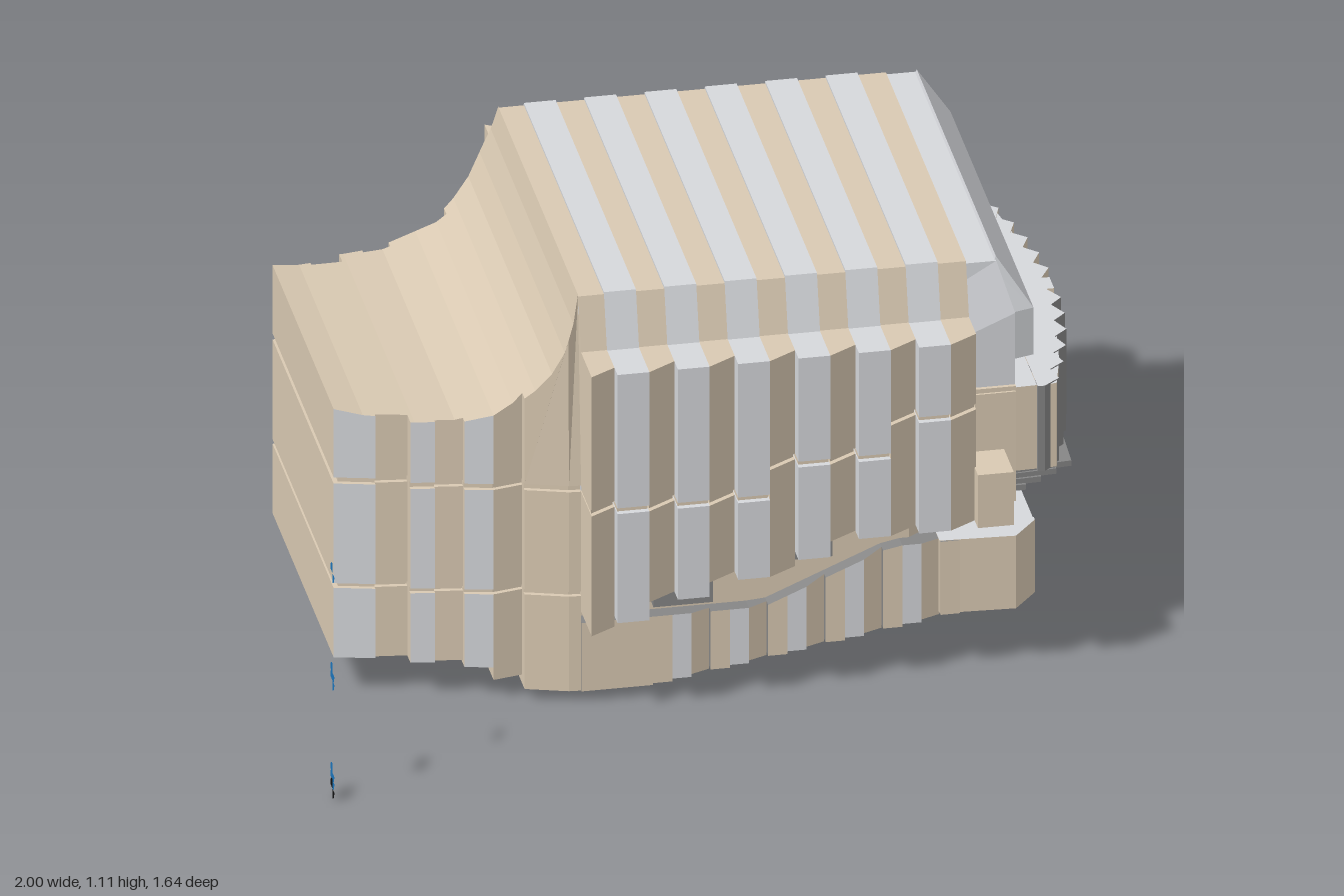
import * as THREE from 'three';

const CZ = -0.135; // symmetry plane of the building
const mat = (c) => new THREE.MeshStandardMaterial({ color: c, flatShading: true, side: THREE.DoubleSide });
const TAN = mat(0xd9c9b2), GREY = mat(0xd5d7db), DARK = mat(0x868686);
const CYAN = mat(0x10dada), BLUE = mat(0x1c75bc), BLACK = mat(0x111111);

const toShape = (pts) => new THREE.Shape(pts.map((p) => new THREE.Vector2(p[0], p[1])));
const rect = (x0, x1, y0, y1) => [[x0, y0], [x1, y0], [x1, y1], [x0, y1]];

export function createModel() {
  const model = new THREE.Group();
  const group = (name) => {
    const g = new THREE.Group();
    g.name = name;
    model.add(g);
    return g;
  };
  const add = (parent, name, geo, material) => {
    const m = new THREE.Mesh(geo, material);
    m.name = name;
    parent.add(m);
    return m;
  };

  // Side profile (x, y) spread across z; half(x, y) gives the half width
  const prism = (parent, name, pts, half, sideMat, edgeMat = sideMat) => {
    const geo = new THREE.ExtrudeGeometry(toShape(pts), { depth: 2, bevelEnabled: false });
    const p = geo.attributes.position;
    for (let i = 0; i < p.count; i++) {
      p.setZ(i, CZ + (p.getZ(i) > 1 ? 1 : -1) * half(p.getX(i), p.getY(i)));
    }
    geo.computeVertexNormals();
    return add(parent, name, geo, [sideMat, edgeMat]);
  };
  // Plan outline (x, offset from the symmetry plane) raised from y0 to y1
  const plan = (parent, name, pts, y0, y1, capMat, wallMat = capMat) => {
    const geo = new THREE.ExtrudeGeometry(toShape(pts), { depth: y1 - y0, bevelEnabled: false });
    geo.rotateX(-Math.PI / 2).translate(0, y0, CZ);
    return add(parent, name, geo, [capMat, wallMat]);
  };
  const box = (parent, name, x0, x1, y0, y1, z0, z1, m) => {
    const geo = new THREE.BoxGeometry(x1 - x0, y1 - y0, z1 - z0);
    geo.translate((x0 + x1) / 2, (y0 + y1) / 2, (z0 + z1) / 2);
    return add(parent, name, geo, m);
  };
  const roofHalf = (y, base = 0.55) => base - Math.max(0, y - 0.97) * 0.29;

  // Rear wing: folded side panels under a sweeping roof, cut by two floor grooves
  const wing = group('rearWing');
  const sweep = [[-0.89, 0.79], [-0.82, 0.775], [-0.7, 0.768], [-0.6, 0.768], [-0.51, 0.79], [-0.46, 0.815],
    [-0.41, 0.86], [-0.37, 0.91], [-0.34, 0.97], [-0.315, 1.04], [-0.3, 1.11]];
  const sweepY = (x) => {
    let i = 1;
    while (i < sweep.length - 1 && sweep[i][0] < x) i++;
    const [a, b] = [sweep[i - 1], sweep[i]];
    return a[1] + (b[1] - a[1]) * (x - a[0]) / (b[0] - a[0]);
  };
  // x0, x1, half width at x0 and x1, bottom, side material
  const wingCells = [
    [-0.89, -0.79, 0.39, 0.415, 0.1, GREY], [-0.79, -0.71, 0.405, 0.415, 0.1, TAN],
    [-0.71, -0.65, 0.455, 0.465, 0.1, GREY], [-0.65, -0.58, 0.455, 0.465, 0.1, TAN],
    [-0.58, -0.51, 0.485, 0.5, 0.09, GREY], [-0.51, -0.435, 0.5, 0.485, 0.055, TAN],
    [-0.435, -0.33, 0.515, 0.548, 0.03, TAN], [-0.33, -0.3, 0.548, 0.55, 0.03, TAN],
  ];
  for (const [x0, x1, h0, h1, y0, m] of wingCells) {
    const half = (x, y) => roofHalf(y, h0 + (h1 - h0) * (x - x0) / (x1 - x0));
    prism(wing, 'lowerWallPanel', rect(x0, x1, y0, 0.293), half, m, TAN);
    prism(wing, 'middleWallPanel', rect(x0, x1, 0.306, 0.583), half, m, TAN);
    const inner = sweep.filter((p) => p[0] > x0 + 1e-4 && p[0] < x1 - 1e-4).reverse();
    prism(wing, 'roofPanel', [[x0, 0.6], [x1, 0.6], [x1, sweepY(x1)], ...inner, [x0, sweepY(x0)]], half, m, TAN);
    prism(wing, 'floorSlab', rect(Math.max(x0, -0.878), x1, y0 + 0.02, 0.7), (x, y) => half(x, y) - 0.012, TAN);
  }

  // Upper hall: chamfered block under a ribbed roof
  const hall = group('upperHall');
  prism(hall, 'hallBlock', [[-0.3, 0.5], [0.79, 0.5], [0.79, 0.97], [0.75, 1.1], [-0.3, 1.1]],
    (x, y) => roofHalf(y), GREY);
  const visorHalf = (x, y) => roofHalf(y, 0.545) - (x > 0.8 ? 0.015 : 0);
  prism(hall, 'frontVisor', [[0.74, 1.08], [0.79, 0.97], [0.79, 0.84], [0.84, 0.84], [0.84, 0.97], [0.75, 1.11]],
    visorHalf, GREY);

  // Folded fins along both long sides, stepping up over the recess; roof ribs line up with them
  const fins = group('sideFins');
  const bottomAt = (x) => (x < -0.24 ? 0.25 : x < -0.12 ? 0.28 : x < -0.02 ? 0.33 : x < 0.2 ? 0.37 : x < 0.28 ? 0.41 : 0.453);
  const fin = (x0, x1, h0, h1, m) => {
    const half = (x) => h0 + (h1 - h0) * (x - x0) / (x1 - x0);
    const mid = (x0 + x1) / 2, y0 = bottomAt(mid);
    const gap = mid < 0.12 ? 0.583 : mid < 0.42 ? 0.667 : 0.76;
    prism(fins, 'lowerFin', rect(x0, x1, y0, gap), half, m);
    prism(fins, 'upperFin', rect(x0, x1, gap + 0.016, 0.97), half, m);
    prism(fins, 'finSlab', rect(x0 + 0.002, x1 - 0.002, y0 + 0.05, 0.9), (x) => half(x) - 0.015, TAN);
    prism(hall, 'roofRib', rect(x0, x1, 0.965, m === GREY ? 1.112 : 1.106),
      (x, y) => roofHalf(y) + (m === GREY ? 0.004 : 0.001), m);
  };
  const period = 0.1515;
  fin(-0.3, -0.235, 0.685, 0.645, TAN);
  for (let k = 0; k < 6; k++) {
    const x = -0.235 + k * period;
    fin(x, x + 0.08, 0.685, 0.685, GREY);
    fin(x + 0.08, x + period, 0.685, 0.64, TAN);
  }
  prism(fins, 'frontCornerBox', rect(0.67, 0.76, 0.453, 0.6), () => 0.685, TAN);
  prism(fins, 'frontReturnWall', rect(0.66, 0.79, 0.453, 0.757), () => 0.56, TAN);
  prism(hall, 'cornerLedge', rect(0.67, 0.79, 0.76, 0.772), () => 0.56, TAN);

  // Stepped dark soffits beneath the fins
  for (let i = 0; i < 6; i++) {
    prism(fins, 'lowerSoffitStep', rect(-0.13 + i * 0.022, 0.02, 0.275 + i * 0.016, 0.291 + i * 0.016 + 0.04),
      () => 0.61, DARK);
  }
  for (let i = 0; i < 5; i++) {
    prism(fins, 'upperSoffitStep', rect(0.19 + i * 0.022, 0.32, 0.372 + i * 0.016, 0.392 + i * 0.016 + 0.02),
      () => 0.61, DARK);
  }

  // Recessed storey between base and hall
  plan(model, 'recessedStorey', [[-0.3, -0.515], [0.53, -0.515], [0.63, -0.44], [0.63, 0.44], [0.53, 0.515], [-0.3, 0.515]],
    0.2, 0.47, TAN).name = 'recessedStorey';

  // Front gallery: fan of folded strips over a stepped soffit
  const gallery = group('frontGallery');
  plan(gallery, 'galleryFloor', [[0.6, -0.53], [0.9, -0.52], [0.93, -0.4], [0.96, -0.2], [0.965, 0],
    [0.96, 0.2], [0.93, 0.4], [0.9, 0.52], [0.6, 0.53]], 0.517, 0.749, GREY, TAN);
  const arcX = (w) => 1.0 - 0.36 * w * w;
  for (const s of [1, -1]) {
    for (let i = 0; i < 6; i++) {
      const a = 0.03 + i * 0.084, b = a + 0.05, c = a + 0.084;
      plan(gallery, 'wideStrip', [[0.85, s * a], [arcX(a) - 0.03, s * a], [arcX(b), s * b], [0.85, s * b]],
        0.515, 0.752, GREY, TAN);
      plan(gallery, 'narrowStrip', [[0.85, s * b], [arcX(b), s * b], [arcX(c) - 0.03, s * c], [0.85, s * c]],
        0.515, 0.752, GREY, DARK);
    }
  }
  plan(gallery, 'centreStrip', rect(0.85, 0.99, -0.03, 0.03), 0.515, 0.752, GREY, TAN);
  for (let i = 0; i < 5; i++) {
    const x = 0.78 + i * 0.04;
    plan(gallery, 'soffitStep', [[0.5, -0.545], [x, -0.545 + i * 0.01], [x + 0.02, 0], [x, 0.545 - i * 0.01], [0.5, 0.545]],
      0.455 + i * 0.013, 0.47 + i * 0.013, DARK);
  }

  // Base: folded walls, sloped parapet and a stepped underside
  const base = group('base');
  const baseTop = (x) => Math.min(0.355, Math.max(0.22, 0.22 + (x - 0.16) * 0.422));
  prism(base, 'baseRear', rect(-0.3, -0.12, 0.03, 0.22), () => 0.555, TAN, DARK);
  const steps = 16, dx = 0.77 / steps;
  for (let i = 0; i < steps; i++) {
    const x0 = -0.12 + i * dx, x1 = x0 + dx, y0 = 0.035 + i * 0.0078;
    const fold = i % 3 === 2;
    prism(base, 'baseWallPanel', [[x0, y0], [x1, y0], [x1, baseTop(x1)], [x0, baseTop(x0)]],
      (x) => (fold ? 0.555 - 0.02 * (x - x0) / dx : 0.555), i % 3 === 1 ? GREY : TAN, DARK);
  }
  // Forked front end around a recessed window
  plan(base, 'frontFork', [[0.6, -0.48], [0.85, -0.48], [0.85, -0.235], [0.65, -0.13], [0.65, 0.13], [0.85, 0.235],
    [0.85, 0.48], [0.6, 0.48]], 0.155, 0.355, GREY, DARK);
  for (const s of [1, -1]) {
    plan(base, 'forkCheek', [[0.6, s * 0.47], [0.852, s * 0.47], [0.852, s * 0.485], [0.79, s * 0.56], [0.6, s * 0.55]],
      0.154, 0.356, GREY, TAN);
    const z = CZ + s * 0.317;
    box(base, 'forkPanel', 0.845, 0.855, 0.156, 0.307, z - 0.082, z + 0.082, DARK);
  }

  // Window: frame with two rows of three panes
  const win = group('window');
  box(win, 'windowFrame', 0.64, 0.656, 0.24, 0.342, -0.265, -0.005, TAN);
  for (const [z0, z1] of [[-0.255, -0.165], [-0.155, -0.108], [-0.098, -0.015]]) {
    box(win, 'lowerPane', 0.65, 0.66, 0.247, 0.302, z0, z1, CYAN);
    box(win, 'upperPane', 0.65, 0.66, 0.31, 0.335, z0, z1, CYAN);
  }

  // Level markers: flat discs with two opposite quarters, standing apart
  const markers = group('levelMarkers');
  for (const [y, m] of [[0.625, BLUE], [0.348, BLUE], [0.326, BLUE], [0.07, BLUE], [0.05, BLUE], [0.026, BLACK]]) {
    for (const start of [0, Math.PI]) {
      const q = add(markers, 'markerQuarter', new THREE.CircleGeometry(0.026, 8, start, Math.PI / 2), m);
      q.rotation.y = Math.PI / 2;
      q.position.set(-1, y, 0.798);
    }
  }
  return model;
}
